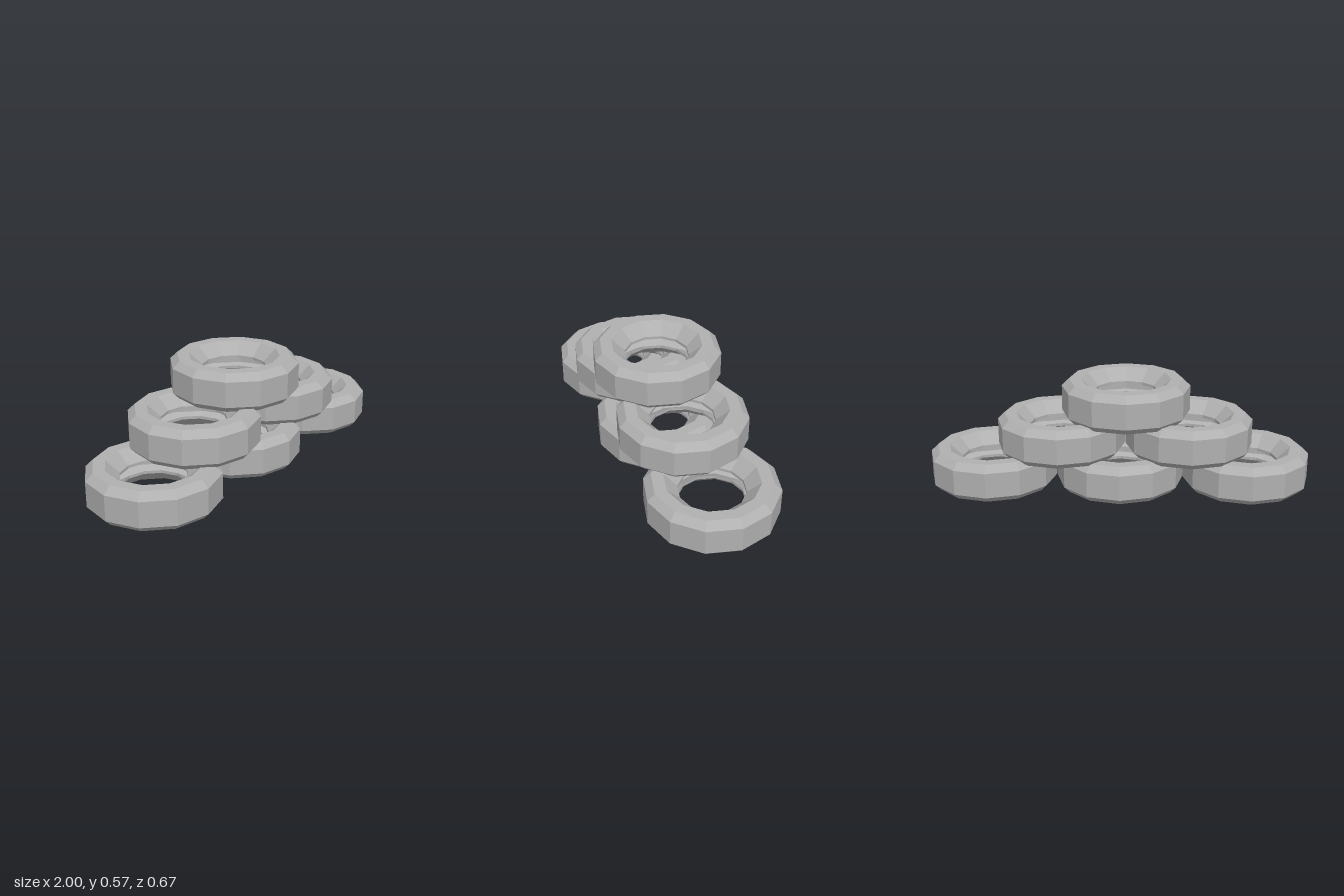
import * as THREE from 'three';

export function createModel() {
  const group = new THREE.Group();
  group.name = 'tyreStack';
  const rubber = new THREE.MeshStandardMaterial({ color: 0xb0b0b0, flatShading: true });
  rubber.name = 'grey rubber';

  // Closed tyre cross-section (radius, height): tread, upper sidewall, lip, hollow, lower sidewall
  const section = [
    [0.303, 0], [0.333, 0.031], [0.333, 0.162], [0.296, 0.198],
    [0.235, 0.198], [0.167, 0.135], [0.167, 0.12],
    [0.24, 0.165], [0.3, 0.145], [0.3, 0.053], [0.24, 0.033],
    [0.167, 0.078], [0.167, 0.063], [0.235, 0], [0.303, 0],
  ].map(([r, y]) => new THREE.Vector2(r, y));
  const tyre = new THREE.LatheGeometry(section, 12);

  // Three tiers: name, x, base height
  const places = [
    ['bottomRightTyre', -0.667, 0], ['bottomMiddleTyre', -0.003, 0], ['bottomLeftTyre', 0.667, 0.01],
    ['middleRightTyre', -0.363, 0.191], ['middleLeftTyre', 0.306, 0.191],
    ['topTyre', -0.033, 0.374],
  ];
  for (const [name, x, y] of places) {
    const mesh = new THREE.Mesh(tyre, rubber);
    mesh.name = name;
    mesh.position.set(x, y, 0);
    group.add(mesh);
  }
  return group;
}
